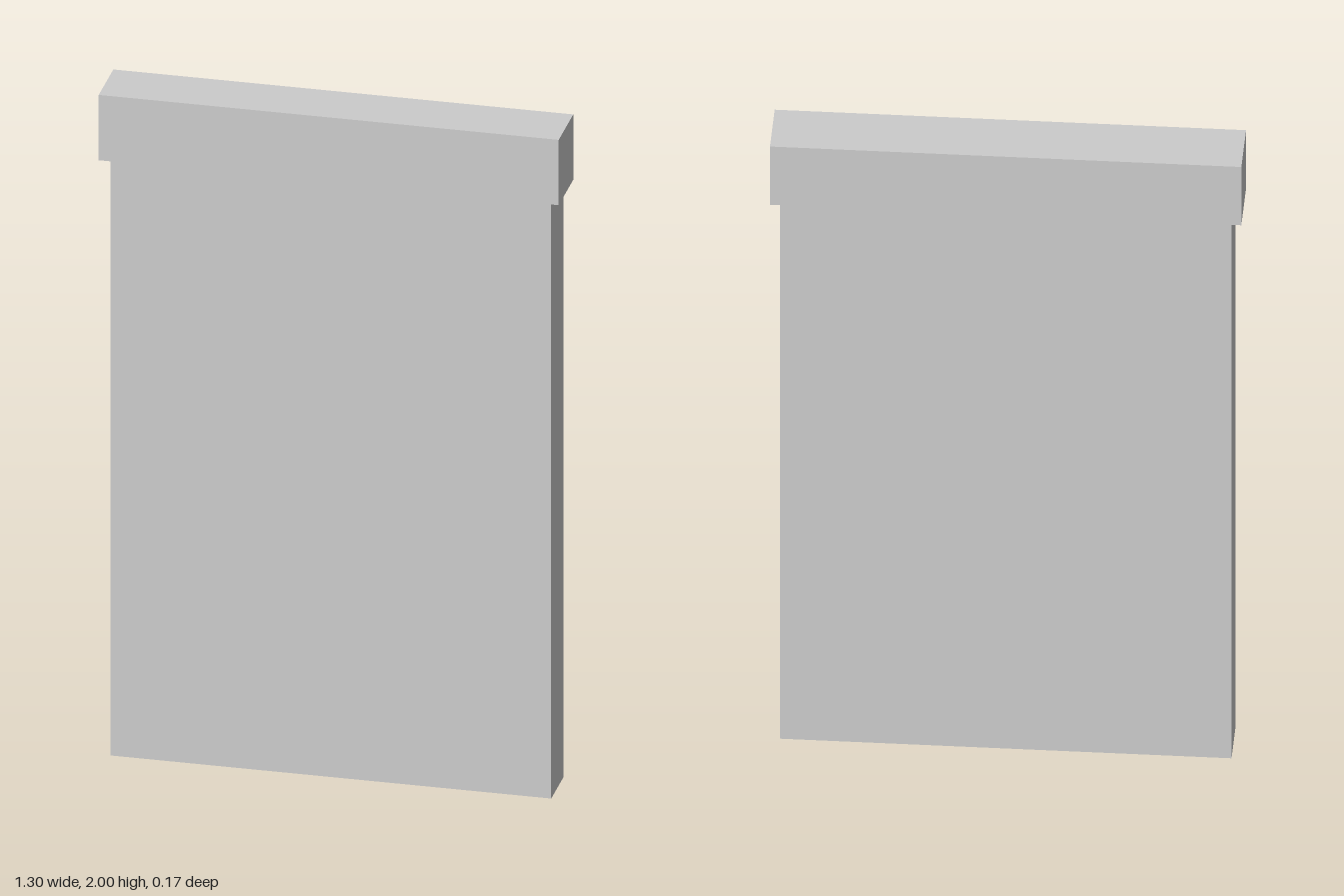
import * as THREE from 'three';

const BACK = -0.087; // shared flush back plane

export function createModel() {
  const group = new THREE.Group();
  const material = new THREE.MeshStandardMaterial({ color: 0xcccccc, flatShading: true });

  // Box standing on y = bottom with its back on the shared plane
  function slab(name, width, bottom, top, front) {
    const mesh = new THREE.Mesh(new THREE.BoxGeometry(width, top - bottom, front - BACK), material);
    mesh.name = name;
    mesh.position.set(0, (bottom + top) / 2, (front + BACK) / 2);
    group.add(mesh);
  }

  slab('panel', 1.244, 0, 1.803, 0.062);
  // Wider, deeper cap overhanging the front and both sides
  slab('topCap', 1.298, 1.803, 2, 0.087);

  return group;
}
